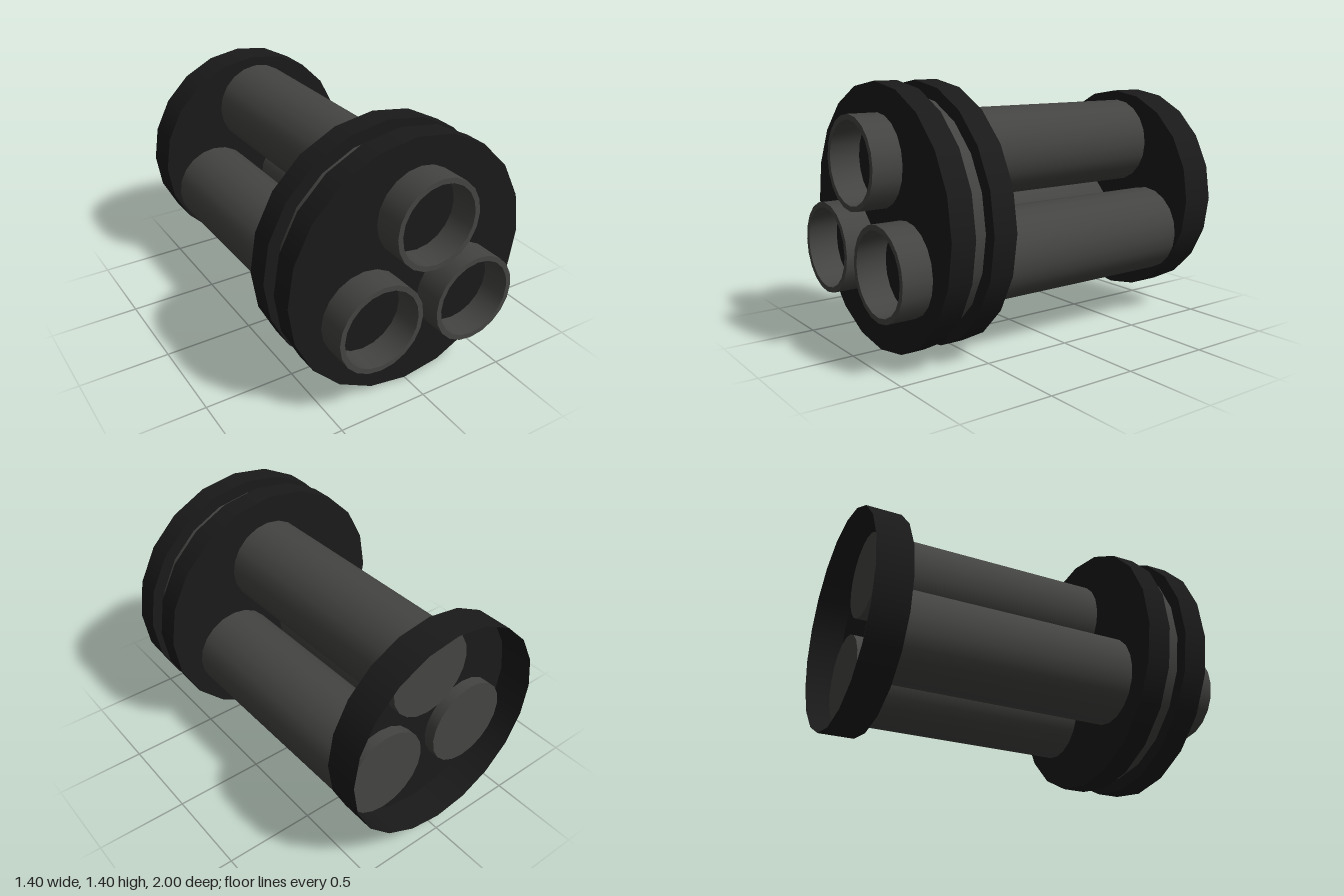
import * as THREE from 'three';
import { toCreasedNormals } from 'three/addons/utils/BufferGeometryUtils.js';

const SIDES = 20;
const AXIS_Y = 0.7;
const dark = new THREE.MeshStandardMaterial({ color: 0x1a1a1a });
const darkThin = new THREE.MeshStandardMaterial({ color: 0x1a1a1a, side: THREE.DoubleSide });
const grey = new THREE.MeshStandardMaterial({ color: 0x444442 });

// Disc or open band on the main axis, from zBack to zFront
function drum(name, radius, zBack, zFront, material, open = false) {
  const geometry = new THREE.CylinderGeometry(radius, radius, zFront - zBack, SIDES, 1, open);
  geometry.rotateX(Math.PI / 2);
  const mesh = new THREE.Mesh(geometry, material);
  mesh.name = name;
  mesh.position.set(0, AXIS_Y, (zBack + zFront) / 2);
  return mesh;
}

// Tube closed at the back, hollow at the front
function barrelGeometry() {
  const profile = [[0, -0.87], [0.243, -0.87], [0.243, 1], [0.215, 1], [0.215, 0.78]];
  const lathe = new THREE.LatheGeometry(profile.map(([r, h]) => new THREE.Vector2(r, h)), SIDES);
  lathe.rotateX(Math.PI / 2);
  return toCreasedNormals(lathe, 0.6);
}

export function createModel() {
  const model = new THREE.Group();
  model.name = 'tripleBarrel';

  // Front collar: two flanges with a narrower spacer between them
  model.add(
    drum('frontFlange', 0.7, 0.705, 0.837, dark),
    drum('collarSpacer', 0.63, 0.6, 0.71, grey),
    drum('rearFlange', 0.7, 0.47, 0.602, dark)
  );

  // Back cup: plate with a thin rim, open to the rear
  const cup = new THREE.Group();
  cup.name = 'backCup';
  cup.add(drum('cupRim', 0.602, -1, -0.808, darkThin, true));
  const plate = new THREE.Mesh(new THREE.CircleGeometry(0.602, SIDES), darkThin);
  plate.name = 'cupPlate';
  plate.position.set(0, AXIS_Y, -0.808);
  cup.add(plate);
  model.add(cup);

  // Three barrels, very slightly askew
  const geometry = barrelGeometry();
  const centres = { topBarrel: [0.024, 1.003], rightBarrel: [-0.283, 0.521], leftBarrel: [0.286, 0.496] };
  for (const [name, [x, y]] of Object.entries(centres)) {
    const barrel = new THREE.Mesh(geometry, grey);
    barrel.name = name;
    barrel.position.set(x, y, 0);
    barrel.rotation.y = 0.0065;
    model.add(barrel);
  }
  return model;
}
